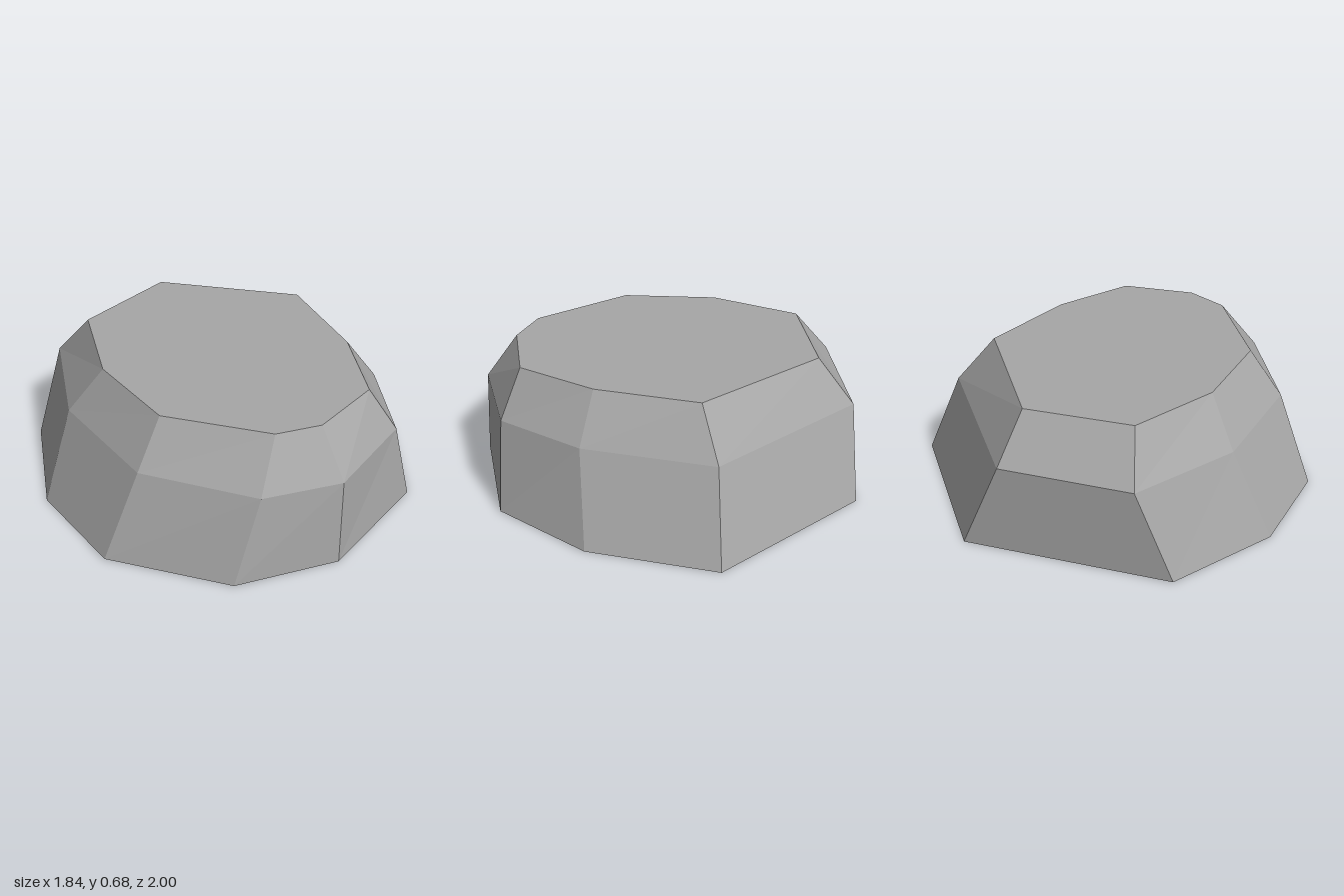
import * as THREE from 'three';

// Cross-sections of the faceted rock, as [x, z] corners, from the ground up
const rings = [
  { y: 0, pts: [[-0.09, -1], [0.51, -0.74], [0.885, -0.34], [0.92, 0.3], [0.65, 0.745], [0.065, 1], [-0.465, 0.88], [-0.92, 0.505], [-0.865, -0.52]] },
  { y: 0.445, pts: [[-0.105, -0.81], [0.5, -0.55], [0.85, -0.23], [0.9, 0.27], [0.685, 0.6], [0.135, 0.82], [-0.465, 0.68], [-0.915, 0.32], [-0.875, -0.33]] },
  { y: 0.675, pts: [[-0.06, -0.62], [0.415, -0.41], [0.74, -0.135], [0.74, 0.235], [0.62, 0.425], [0.13, 0.655], [-0.34, 0.55], [-0.725, 0.275], [-0.705, -0.255]] },
];

function loftRings() {
  const n = rings[0].pts.length;
  const positions = rings.flatMap(({ y, pts }) => pts.flatMap(([x, z]) => [x, y, z]));
  const index = [];
  // Side facets between neighbouring rings
  for (let r = 0; r < rings.length - 1; r++) {
    for (let i = 0; i < n; i++) {
      const a = r * n + i, b = r * n + (i + 1) % n;
      index.push(b, a, a + n, b, a + n, b + n);
    }
  }
  // Flat underside and flat top
  const top = (rings.length - 1) * n;
  for (let i = 1; i < n - 1; i++) {
    index.push(0, i, i + 1);
    index.push(top, top + i + 1, top + i);
  }
  const indexed = new THREE.BufferGeometry();
  indexed.setAttribute('position', new THREE.Float32BufferAttribute(positions, 3));
  indexed.setIndex(index);
  // Separate corners give every facet its own flat normal
  const geometry = indexed.toNonIndexed();
  geometry.computeVertexNormals();
  return geometry;
}

export function createModel() {
  const stoneGrey = new THREE.MeshStandardMaterial({ color: 0xa6a6a6 });
  stoneGrey.name = 'stone grey';

  const rock = new THREE.Mesh(loftRings(), stoneGrey);
  rock.name = 'rock';

  const model = new THREE.Group();
  model.name = 'flatToppedRock';
  model.add(rock);
  return model;
}
